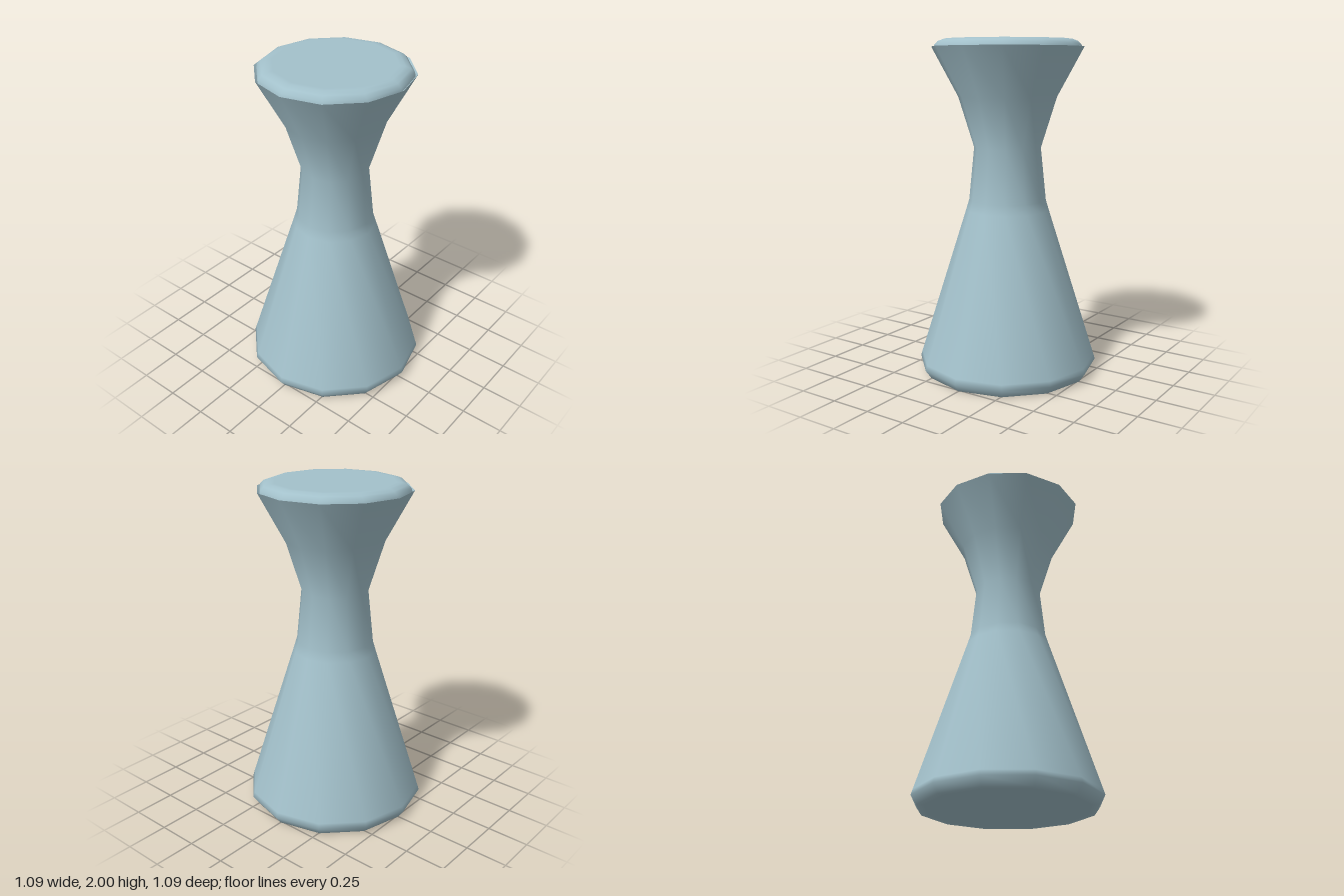
import * as THREE from 'three';

const SIDES = 12;

export function createModel() {
  const model = new THREE.Group();
  const paleBlue = new THREE.MeshStandardMaterial({ color: 0xa3c1cb });
  paleBlue.name = 'paleBlue';

  // Twelve-sided turned part from [radius, height] pairs, smooth along its profile
  const turn = (name, profile) => {
    const points = profile.map(([r, y]) => new THREE.Vector2(r, y));
    const mesh = new THREE.Mesh(new THREE.LatheGeometry(points, SIDES), paleBlue);
    mesh.name = name;
    model.add(mesh);
  };

  // Flared base, narrow waist and widening neck; extra rings hold the bottom bevel tight
  turn('pedestal', [
    [0, 0], [0.47, 0], [0.51, 0], [0.545, 0.05], [0.535, 0.082],
    [0.25, 0.99], [0.232, 1.05], [0.2, 1.365], [0.293, 1.665], [0.45, 1.957],
  ]);

  // Thin inward-sloping lip inside the upper edge
  turn('lip', [[0.45, 1.957], [0.437, 1.945]]);

  // Slightly domed seat with a soft bevelled edge
  turn('seat', [[0.437, 1.945], [0.432, 1.968], [0.412, 1.988], [0.38, 2], [0.35, 2], [0, 2]]);

  return model;
}
